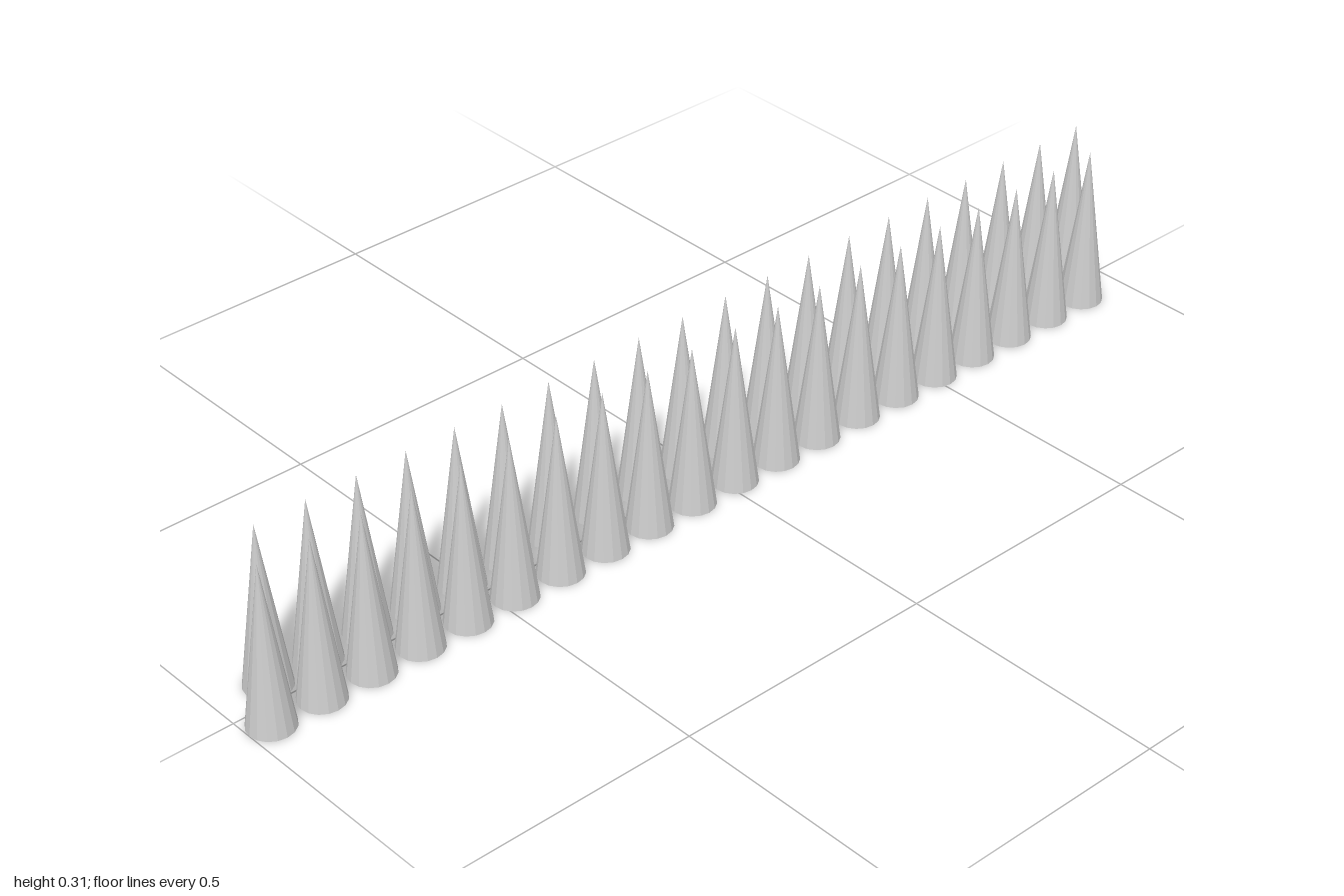
import * as THREE from 'three';

const RADIUS = 0.042;
const HEIGHT = 0.31;
const COUNT = 20;
const PITCH = 0.0979;
const STAGGER = 0.056;

export function createModel() {
  const model = new THREE.Group();
  model.name = 'spikeStrip';

  // Open-based faceted cone shared by every spike
  const spikeGeometry = new THREE.ConeGeometry(RADIUS, HEIGHT, 16, 1, true);
  spikeGeometry.translate(0, HEIGHT / 2, 0);
  const material = new THREE.MeshStandardMaterial({
    color: 0xcccccc,
    flatShading: true,
    side: THREE.DoubleSide,
  });

  // Two parallel rows, staggered along z
  for (const side of [-1, 1]) {
    const row = new THREE.Group();
    row.name = side > 0 ? 'leftRow' : 'rightRow';
    row.position.set(side * 0.0425, 0, side * STAGGER / 2);
    for (let i = 0; i < COUNT; i++) {
      const spike = new THREE.Mesh(spikeGeometry, material);
      spike.name = `spike${i + 1}`;
      spike.position.z = (i - (COUNT - 1) / 2) * PITCH;
      row.add(spike);
    }
    model.add(row);
  }
  return model;
}
